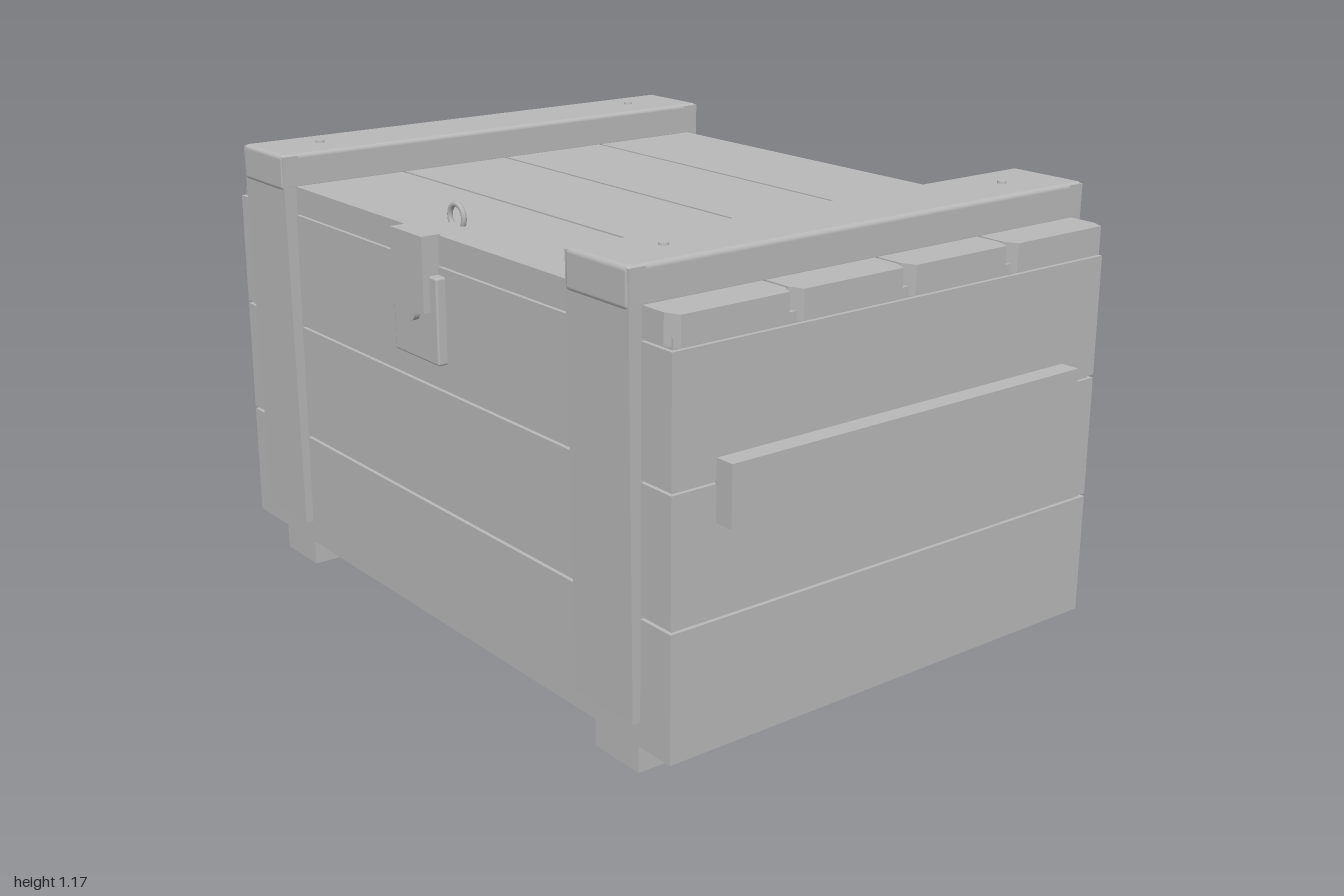
import * as THREE from 'three';
import { RoundedBoxGeometry } from 'three/addons/geometries/RoundedBoxGeometry.js';

export function createModel() {
  const crate = new THREE.Group();
  crate.name = 'crate';
  const grey = new THREE.MeshStandardMaterial({ color: 0xb8b8b8 });
  grey.name = 'grey';

  const add = (name, geometry, x = 0, y = 0, z = 0) => {
    const mesh = new THREE.Mesh(geometry, grey);
    mesh.name = name;
    mesh.position.set(x, y, z);
    crate.add(mesh);
    return mesh;
  };
  // Box given by its limits on each axis, optionally with softened edges
  const box = (name, [x0, x1], [y0, y1], [z0, z1], bevel = 0) => {
    const size = [x1 - x0, y1 - y0, z1 - z0];
    const geometry = bevel ? new RoundedBoxGeometry(...size, 2, bevel) : new THREE.BoxGeometry(...size);
    return add(name, geometry, (x0 + x1) / 2, (y0 + y1) / 2, (z0 + z1) / 2);
  };

  // Body: a slightly inset core shows in the seams between three rows of boards
  box('core', [-0.94, 0.94], [0.085, 1.03], [-0.65, 0.65]);
  for (const [y0, y1] of [[0.08, 0.386], [0.394, 0.697], [0.705, 1.004]]) {
    box('wallBoards', [-0.95, 0.95], [y0, y1], [-0.66, 0.66]);
  }

  // Lid boards with clipped ends
  const lid = new THREE.Shape([
    [-0.955, -0.145], [-0.92, -0.161], [0.92, -0.161], [0.955, -0.145],
    [0.955, 0.145], [0.92, 0.161], [-0.92, 0.161], [-0.955, 0.145],
  ].map(([x, y]) => new THREE.Vector2(x, y)));
  const lidBoard = new THREE.ExtrudeGeometry(lid, { depth: 0.07, bevelEnabled: false });
  lidBoard.rotateX(-Math.PI / 2);
  for (let i = 0; i < 4; i++) add('lidBoard', lidBoard, 0, 1.01, (i - 1.5) * 0.331);

  // Upright batten whose outer face and sides narrow slightly to the foot
  const batten = (sz) => {
    const g = new THREE.BoxGeometry(0.22, 1.02, 0.045);
    const p = g.attributes.position;
    for (let i = 0; i < p.count; i++) {
      if (p.getY(i) < 0) {
        p.setX(i, p.getX(i) * 0.96);
        if (p.getZ(i) * sz > 0) p.setZ(i, p.getZ(i) - sz * 0.012);
      }
    }
    g.computeVertexNormals();
    return g;
  };

  for (const s of [-1, 1]) {
    const span = (a, b) => (s > 0 ? [a, b] : [-b, -a]);
    box('foot', span(0.66, 0.82), [0, 0.085], [-0.645, 0.645]);
    box('sideHandle', span(0.945, 1.0), [0.61, 0.755], [-0.54, 0.54]);
    box('lidBeam', span(0.63, 0.85), [1.07, 1.165], [-0.695, 0.695], 0.012);
    for (const sz of [-1, 1]) {
      add('batten', batten(sz), s * 0.74, 0.65, sz * 0.67);
      add('nailHead', new THREE.CylinderGeometry(0.011, 0.013, 0.012, 12), s * 0.745, 1.165, sz * 0.52);
    }

    // Hinge at the back: lower leaf, upper leaf and knuckle
    box('hingeLeaf', span(0.405, 0.595), [0.87, 1.02], [-0.677, -0.655], 0.004);
    box('hingeLeaf', span(0.405, 0.595), [1.025, 1.062], [-0.69, -0.65], 0.004);
    const knuckle = add('hingeKnuckle', new THREE.CylinderGeometry(0.018, 0.018, 0.19, 12), s * 0.5, 1.045, -0.688);
    knuckle.rotation.z = Math.PI / 2;
  }

  // Lock plate, folding hasp with its rounded tongue, and pull ring
  box('lockPlate', [-0.1, 0.1], [0.77, 0.985], [0.655, 0.685], 0.006);
  box('hasp', [-0.073, 0.07], [0.897, 1.082], [0.65, 0.703]);
  const tongue = new THREE.Shape();
  tongue.moveTo(-0.027, 0.01);
  tongue.lineTo(-0.027, -0.008);
  tongue.absarc(0, -0.008, 0.024, Math.PI, Math.PI * 2, false);
  tongue.lineTo(0.027, 0.01);
  add('haspTongue', new THREE.ExtrudeGeometry(tongue, { depth: 0.018, bevelEnabled: false }), 0, 0.897, 0.683);
  add('pullRing', new THREE.TorusGeometry(0.031, 0.007, 8, 24), 0, 1.098, 0.56);

  return crate;
}
